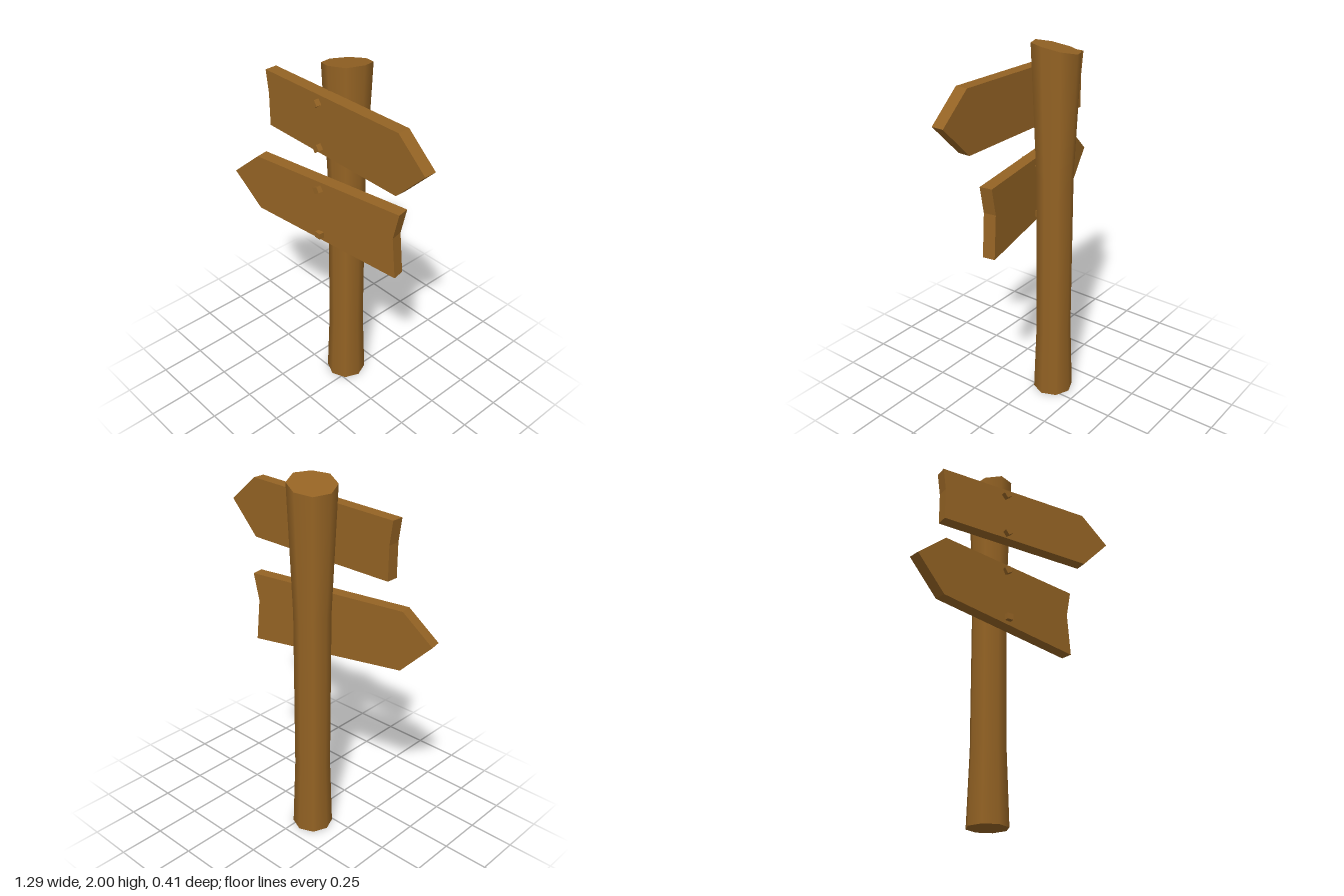
import * as THREE from 'three';

const wood = new THREE.MeshStandardMaterial({ color: 0x946324 });

// Eight-sided post: flared at both ends, with a slanted top cut
function createPost() {
  const rings = [[0, 0.11], [0.4, 0.096], [1.3, 0.097], [2, 0.125]];
  const geo = new THREE.CylinderGeometry(1, 1, 3, 8, 3);
  const pos = geo.attributes.position;
  for (let i = 0; i < pos.count; i++) {
    const ring = Math.round(pos.getY(i) + 1.5);
    const [height, radius] = rings[ring];
    const x = pos.getX(i) * radius;
    const z = pos.getZ(i) * radius;
    const y = ring === 3 ? Math.min(2, 1.975 + 0.2 * x + 0.15 * z) : height;
    pos.setXYZ(i, x, y, z);
  }
  geo.computeBoundingSphere();
  // Keep the side normals smooth, tilt the cap normals with the cut
  const normal = geo.attributes.normal;
  const cut = new THREE.Vector3(-0.2, 1, -0.15).normalize();
  for (let i = 0; i < pos.count; i++) {
    if (normal.getY(i) > 0.9) normal.setXYZ(i, cut.x, cut.y, cut.z);
  }
  const post = new THREE.Mesh(geo, wood);
  post.name = 'post';
  post.position.set(-0.055, 0, -0.085);
  return post;
}

// Arrow board: outline extruded backwards from its front face
function createBoard(name, outline, frontZ, angle) {
  const shape = new THREE.Shape(outline.map(([x, y]) => new THREE.Vector2(x, y)));
  const geo = new THREE.ExtrudeGeometry(shape, { depth: 0.067, bevelEnabled: false });
  geo.translate(0, 0, -0.067);
  const board = new THREE.Mesh(geo, wood);
  board.name = name;
  board.position.z = frontZ;
  board.rotation.y = angle;
  return board;
}

// Square peg running through a board into the post
function createPeg(name, x, y, turn) {
  const peg = new THREE.Mesh(new THREE.BoxGeometry(0.036, 0.034, 0.113), wood);
  peg.name = name;
  peg.position.set(x, y, 0.068);
  peg.rotation.z = turn;
  return peg;
}

export function createModel() {
  const model = new THREE.Group();
  model.name = 'signpost';
  model.add(createPost());

  model.add(createBoard('upperBoard', [
    [-0.457, 1.855], [-0.44, 1.73], [-0.44, 1.55],
    [0.47, 1.55], [0.64, 1.727], [0.47, 1.875],
  ], 0.096, 0));

  model.add(createBoard('lowerBoard', [
    [-0.475, 1.38], [-0.645, 1.23], [-0.475, 1.056],
    [0.417, 0.995], [0.396, 1.23], [0.428, 1.38],
  ], 0.089, THREE.MathUtils.degToRad(10)));

  [
    ['upperBoardTopPeg', -0.062, 1.82, 0.65],
    ['upperBoardBottomPeg', -0.054, 1.582, 0.65],
    ['lowerBoardTopPeg', -0.06, 1.34, 0.5],
    ['lowerBoardBottomPeg', -0.052, 1.065, 0],
  ].forEach((peg) => model.add(createPeg(...peg)));

  return model;
}
